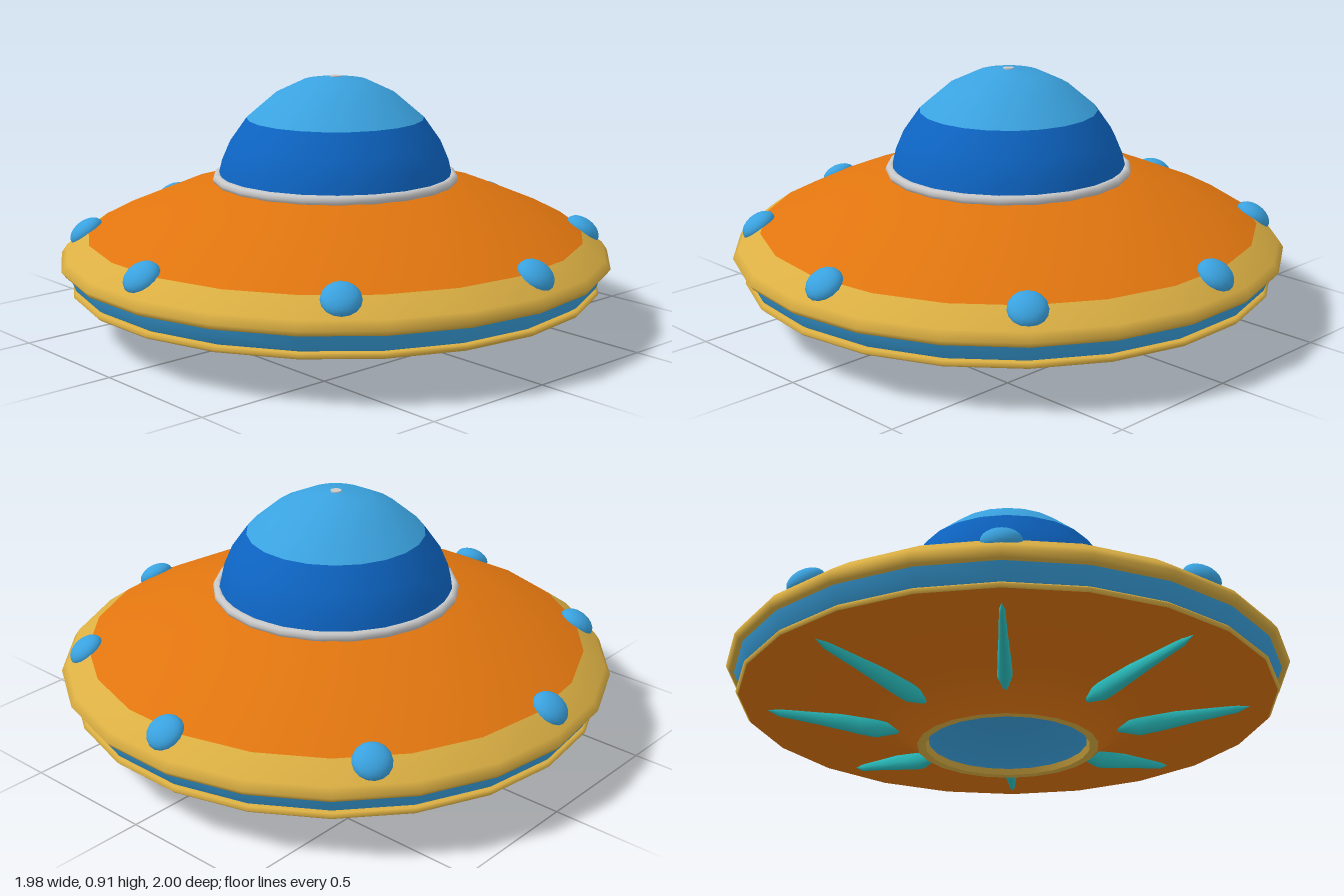
import * as THREE from 'three';

const SIDES = 22;

function material(name, color) {
  const m = new THREE.MeshStandardMaterial({ color });
  m.name = name;
  return m;
}

function lathe(points, sides = SIDES) {
  return new THREE.LatheGeometry(points.map(([r, y]) => new THREE.Vector2(r, y)), sides);
}

export function createModel() {
  const orange = material('orange', 0xe0750f);
  const yellow = material('yellow', 0xdbaf43);
  const lightBlue = material('light blue', 0x3aa2df);
  const darkBlue = material('dark blue', 0x0d64c2);
  const silver = material('silver', 0xc8c8c8);
  const teal = material('teal', 0x2ac0c0);

  const model = new THREE.Group();
  model.name = 'flyingSaucer';

  function add(name, geometry, mat, parent = model) {
    const mesh = new THREE.Mesh(geometry, mat);
    mesh.name = name;
    parent.add(mesh);
    return mesh;
  }

  // Underside: recessed bowl, its rim, and the flared belly
  add('bottomBowl', lathe([[0, 0.13], [0.1, 0.12], [0.19, 0.09], [0.25, 0.05], [0.28, 0.02]]), lightBlue);
  add('bottomRimInside', lathe([[0.28, 0.02], [0.29, 0]]), yellow);
  add('bottomRim', lathe([[0.29, 0], [0.32, 0]]), yellow);
  add('belly', lathe([[0.32, 0], [0.36, 0.04], [0.43, 0.09], [0.6, 0.125], [0.8, 0.145], [0.95, 0.153]]), orange);

  // Rim: thin lip, blue band and the broad rounded edge
  add('lowerLip', lathe([[0.95, 0.153], [0.96, 0.163], [0.95, 0.173], [0.93, 0.173]]), yellow);
  add('rimBand', lathe([[0.93, 0.172], [0.95, 0.185], [0.97, 0.236]]), lightBlue);
  add('outerRim', lathe([[0.96, 0.235], [0.985, 0.238], [1, 0.258], [0.98, 0.288], [0.9, 0.345]]), yellow);

  // Upper hull
  add('upperHull', lathe([[0.9, 0.345], [0.79, 0.402], [0.6, 0.482], [0.43, 0.53], [0.38, 0.535]]), orange);

  // Dome with collar
  const collar = new THREE.TorusGeometry(0.427, 0.018, 8, SIDES);
  collar.rotateX(Math.PI / 2);
  collar.translate(0, 0.54, 0);
  add('domeCollar', collar, silver);
  add('domeLower', lathe([[0.425, 0.54], [0.41, 0.6], [0.38, 0.67], [0.32, 0.755]]), darkBlue);
  add('domeTop', lathe([[0.32, 0.755], [0.22, 0.84], [0.115, 0.89], [0, 0.905]]), lightBlue);
  const stud = new THREE.CylinderGeometry(0.02, 0.02, 0.006, 10);
  stud.translate(0, 0.903, 0);
  add('domeStud', stud, silver);

  // Light: flattened ball lying on the sloping rim
  const light = new THREE.SphereGeometry(0.067, 16, 12);
  light.scale(1, 0.62, 1);
  light.rotateX(THREE.MathUtils.degToRad(35));
  light.translate(0, 0.335, 0.907);

  // Fin: tapered spindle running outward along the belly
  const fin = lathe([[0, 0], [0.012, 0.02], [0.026, 0.09], [0.024, 0.15], [0.016, 0.3], [0.01, 0.45], [0, 0.495]], 10);
  fin.scale(1, 1, 1.7);
  fin.rotateX(Math.PI / 2 - Math.atan2(0.078, 0.49));
  fin.translate(0, 0.07, 0.37);

  const lights = new THREE.Group();
  lights.name = 'rimLights';
  const fins = new THREE.Group();
  fins.name = 'bellyFins';
  model.add(lights, fins);
  for (let i = 0; i < 8; i++) {
    const angle = i * Math.PI / 4 + 0.071;
    add('rimLight', light, lightBlue, lights).rotation.y = angle;
    add('bellyFin', fin, teal, fins).rotation.y = angle;
  }

  return model;
}
